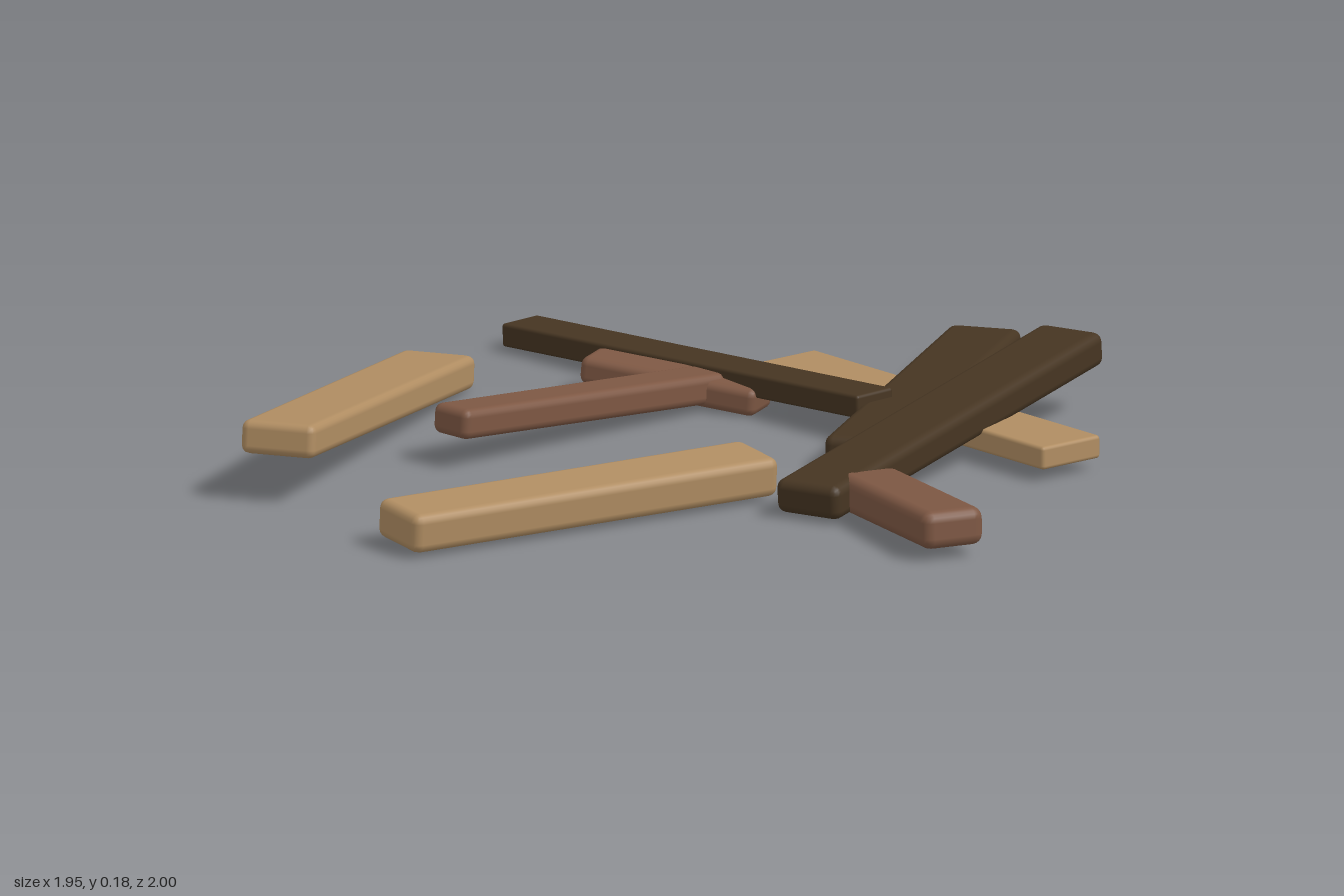
import * as THREE from 'three';
import { RoundedBoxGeometry } from 'three/addons/geometries/RoundedBoxGeometry.js';

export function createModel() {
  const group = new THREE.Group();
  group.name = 'scatteredPlanks';

  const material = (name, color) => {
    const m = new THREE.MeshStandardMaterial({ color });
    m.name = name;
    return m;
  };
  const tan = material('paleWood', 0xb08d62);
  const brown = material('redBrownWood', 0x7d5743);
  const dark = material('darkWood', 0x463522);

  // A worn plank laid between the middles of its two ends, with a little roll
  function plank(name, mat, start, end, width, thickness, bevel, roll = 0) {
    const a = new THREE.Vector3(...start);
    const b = new THREE.Vector3(...end);
    const along = b.clone().sub(a);
    const length = along.length();
    along.normalize();
    const side = along.clone().cross(new THREE.Vector3(0, 1, 0)).normalize();
    const up = side.clone().cross(along);
    const mesh = new THREE.Mesh(new RoundedBoxGeometry(length, thickness, width, 2, bevel), mat);
    mesh.name = name;
    mesh.quaternion.setFromRotationMatrix(new THREE.Matrix4().makeBasis(along, up, side));
    mesh.rotateX(roll);
    mesh.position.copy(a).add(b).multiplyScalar(0.5);
    group.add(mesh);
  }

  // Pale planks
  plank('backLeaningPlank', tan, [-0.92, 0.153, -0.03], [-0.185, 0.047, -0.77], 0.165, 0.072, 0.018);
  plank('sidePlank', tan, [-0.865, 0.068, 0.43], [0.035, 0.068, 0.325], 0.155, 0.085, 0.02, 0.06);
  plank('buriedPlank', tan, [0.45, 0.062, -0.415], [0.685, 0.062, 0.48], 0.16, 0.05, 0.008);

  // Red-brown pieces
  plank('leaningBatten', brown, [-0.46, 0.11, -0.155], [0.26, 0.055, -0.385], 0.105, 0.065, 0.018);
  plank('crossedBatten', brown, [0.065, 0.075, -0.57], [0.33, 0.04, -0.27], 0.105, 0.06, 0.018);
  plank('frontStub', brown, [0.175, 0.06, 0.54], [0.165, 0.078, 0.995], 0.14, 0.082, 0.024);

  // Dark beams
  plank('longBatten', dark, [0.105, 0.045, -0.985], [0.445, 0.09, 0.03], 0.105, 0.05, 0.007);
  plank('lowerBeam', dark, [0.925, 0.058, -0.43], [0.28, 0.058, 0.295], 0.16, 0.074, 0.02);
  plank('upperBeam', dark, [0.935, 0.15, -0.03], [0.02, 0.056, 0.575], 0.155, 0.074, 0.02);

  // Rest the pile on the ground
  const box = new THREE.Box3().setFromObject(group, true);
  group.children.forEach((m) => { m.position.y -= box.min.y; });
  return group;
}
